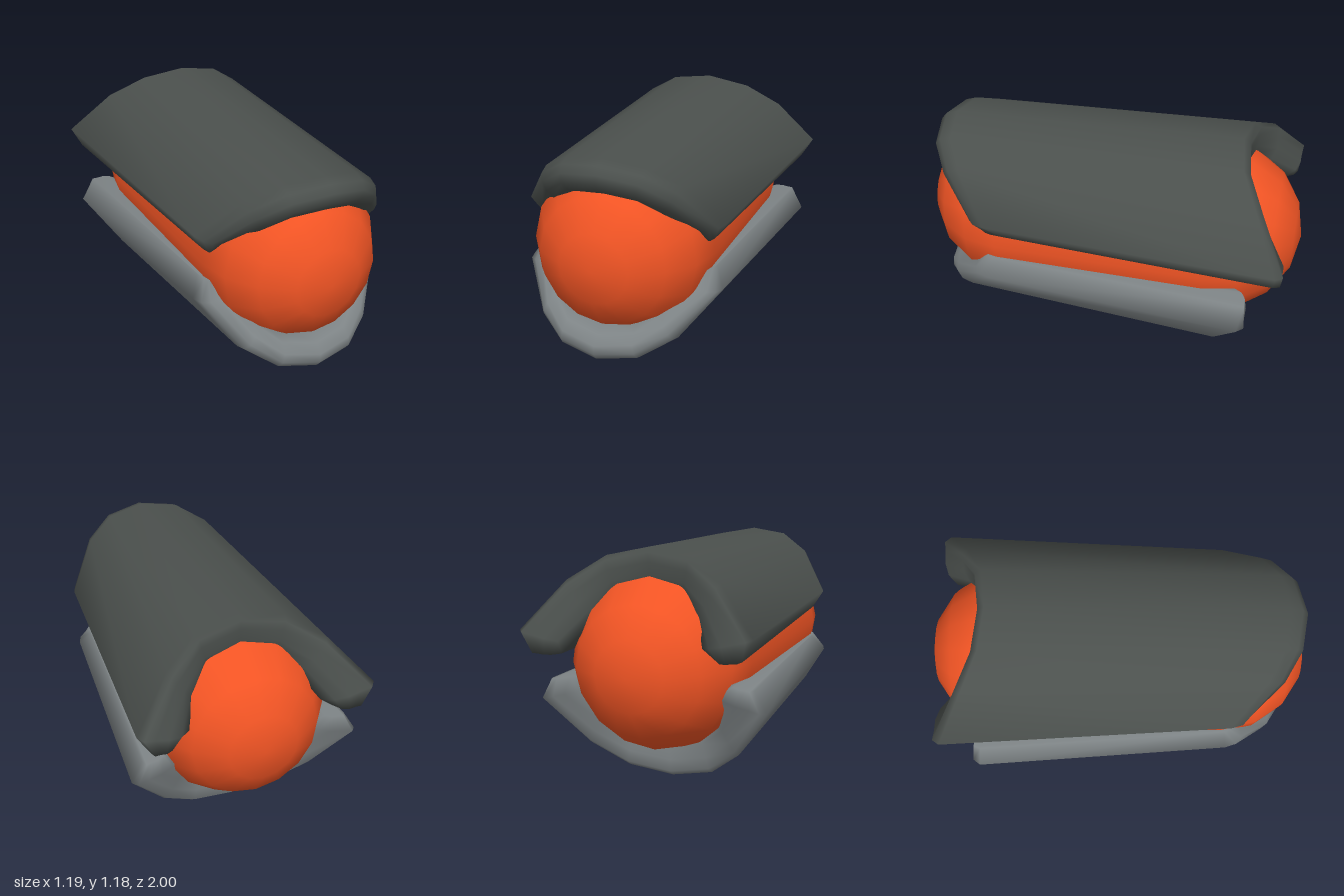
import * as THREE from 'three';

const material = (color) => new THREE.MeshStandardMaterial({ color });

// Half of a shell, from crown to tip: [x, y] offsets from the core's axis
const frontOuter = [[0, 0.505], [0.2, 0.475], [0.35, 0.385], [0.51, 0.17], [0.455, 0.08]];
const inner = [[0, 0.325], [0.165, 0.3], [0.265, 0.22], [0.33, 0.13], [0.4, 0.07]];
const frontZ = [0.95, 0.915, 0.83, 0.66, 0.59];

// Closed loop through the shell's thickness: [depth 0 outer..1 inner, end +1 front/-1 back, inset from that end]
const loop = [
  [0, 1, 0.09], [0.1, 1, 0.03], [0.3, 1, 0], [0.55, 1, 0], [0.8, 1, 0.04], [1, 1, 0.12],
  [1, -1, 0.07], [0.8, -1, 0.02], [0.55, -1, 0], [0.3, -1, 0], [0.1, -1, -0.005], [0, -1, 0.03],
];

// Curved armour plate, lofted across x; side is 1 for upper and -1 for lower
function shell(name, color, side, backOuter, backZ) {
  const n = frontOuter.length, k = loop.length;
  const positions = [], indices = [];
  for (let c = -(n - 1); c < n; c++) {
    const j = Math.abs(c), sx = Math.sign(c);
    for (const [depth, end, inset] of loop) {
      const outer = end > 0 ? frontOuter[j] : backOuter[j];
      const x = THREE.MathUtils.lerp(outer[0], inner[j][0], depth);
      const y = THREE.MathUtils.lerp(outer[1], inner[j][1], depth);
      const z = end > 0 ? frontZ[j] - inset : backZ[j] + inset;
      positions.push(sx * x, side * y, z);
    }
  }
  const tri = (a, b, c) => (side > 0 ? indices.push(a, b, c) : indices.push(a, c, b));
  const columns = 2 * n - 1;
  for (let c = 0; c < columns - 1; c++) {
    for (let i = 0; i < k; i++) {
      const a = c * k + i, b = c * k + (i + 1) % k;
      tri(a, b, a + k);
      tri(b, b + k, a + k);
    }
  }
  // Strips closing the two tips
  const last = (columns - 1) * k;
  for (let i = 0; i < k / 2 - 1; i++) {
    const p = i, q = i + 1, r = k - 2 - i, s = k - 1 - i;
    tri(last + p, last + q, last + r);
    tri(last + p, last + r, last + s);
    tri(p, r, q);
    tri(p, s, r);
  }
  const geometry = new THREE.BufferGeometry();
  geometry.setAttribute('position', new THREE.Float32BufferAttribute(positions, 3));
  geometry.setIndex(indices);
  geometry.computeVertexNormals();
  const mesh = new THREE.Mesh(geometry, material(color));
  mesh.name = name;
  return mesh;
}

export function createModel() {
  const model = new THREE.Group();
  model.name = 'shelledCapsule';

  // Whole assembly leans slightly about its long axis
  const body = new THREE.Group();
  body.name = 'body';
  body.position.y = 0.62;
  body.rotation.z = -0.036;
  model.add(body);

  // Glowing core
  const coreGeometry = new THREE.CapsuleGeometry(0.455, 1.09, 4, 16).rotateX(Math.PI / 2);
  const core = new THREE.Mesh(coreGeometry, material(0xf15424));
  core.name = 'core';
  body.add(core);

  // Plates above and below
  body.add(shell('upperShell', 0x4b504d, 1,
    [[0, 0.565], [0.22, 0.525], [0.395, 0.415], [0.59, 0.19], [0.53, 0.085]],
    [-0.69, -0.72, -0.81, -0.94, -0.93]));
  body.add(shell('lowerShell', 0x7d8385, -1,
    [[0, 0.62], [0.225, 0.575], [0.4, 0.445], [0.59, 0.19], [0.53, 0.085]],
    [-0.54, -0.57, -0.65, -0.78, -0.77]));

  return model;
}
